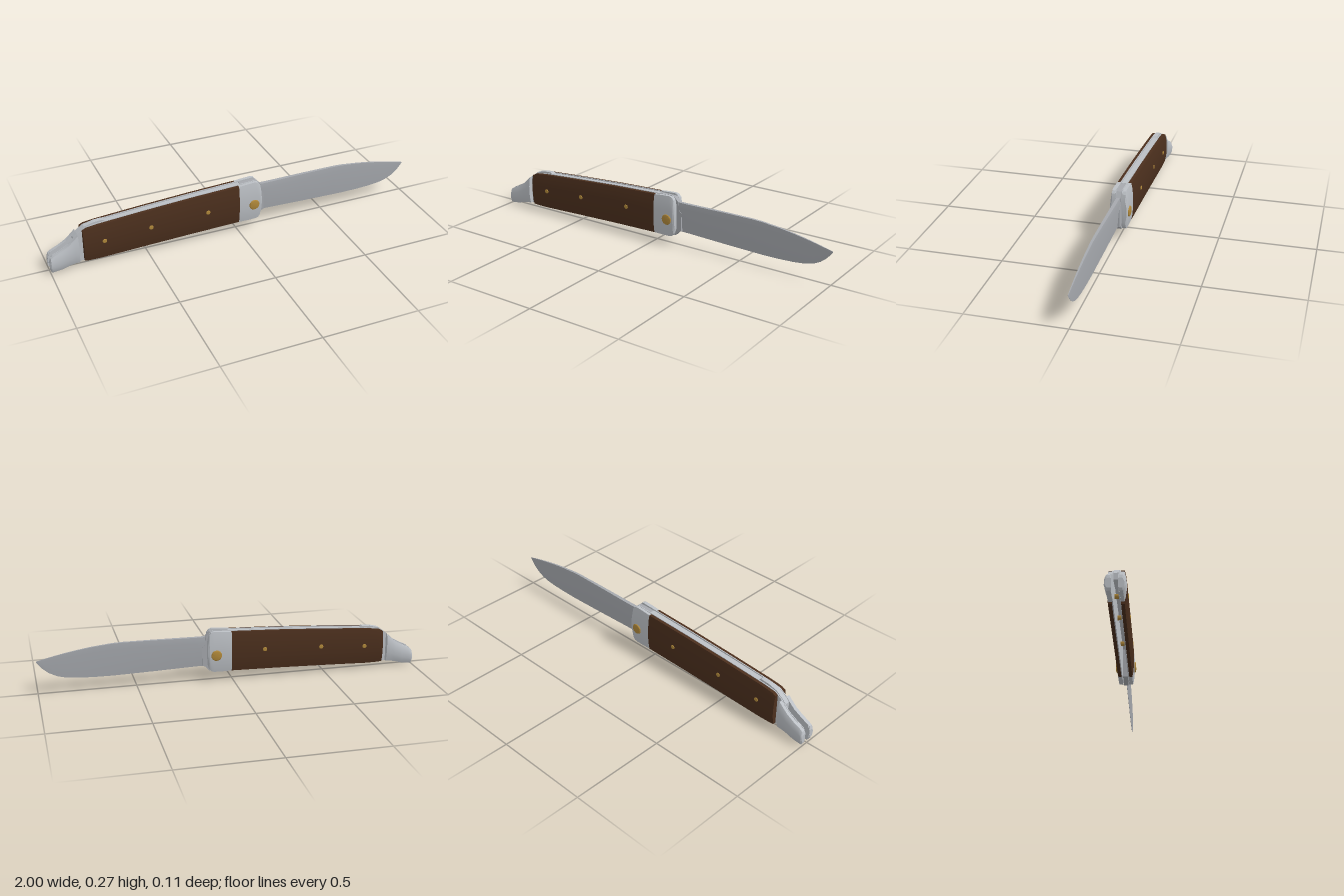
import * as THREE from 'three';
import { toCreasedNormals } from 'three/addons/utils/BufferGeometryUtils.js';

const material = (name, color) => {
  const m = new THREE.MeshStandardMaterial({ color });
  m.name = name;
  return m;
};

// Skin a row of cross-sections [x, [[y, z], ...]] and close both ends.
function loft(sections, side = 1) {
  const rings = sections.map(([x, pts]) => {
    const ring = pts.map(([y, z]) => [x, y, z * side]);
    return side < 0 ? ring.reverse() : ring;
  });
  const pos = [];
  const tri = (a, b, c) => pos.push(...a, ...b, ...c);
  const n = rings[0].length;
  for (let s = 0; s < rings.length - 1; s++) {
    const a = rings[s], b = rings[s + 1];
    for (let i = 0; i < n; i++) {
      const j = (i + 1) % n;
      tri(a[i], a[j], b[j]);
      tri(a[i], b[j], b[i]);
    }
  }
  const first = rings[0], last = rings[rings.length - 1];
  for (let i = 1; i < n - 1; i++) {
    tri(first[0], first[i + 1], first[i]);
    tri(last[0], last[i], last[i + 1]);
  }
  const g = new THREE.BufferGeometry();
  g.setAttribute('position', new THREE.Float32BufferAttribute(pos, 3));
  return toCreasedNormals(g, 0.3);
}

// Handle slab with a crowned outer face; rows are [x, bottom, top, optional depth].
const slab = (rows, side) => loft(rows.map(([x, b, t, z = 0.046]) => {
  const h = t - b, rim = z - 0.010;
  return [x, [[b, 0.019], [t, 0.019], [t, rim], [t - h * 0.12, z - 0.005],
    [t - h * 0.35, z], [b + h * 0.35, z], [b + h * 0.12, z - 0.005], [b, rim]]];
}), side);

// Flat plate cut from an outline in x and y.
function plate(points, z0, z1) {
  const shape = new THREE.Shape(points.map(([x, y]) => new THREE.Vector2(x, y)));
  const g = new THREE.ExtrudeGeometry(shape, { depth: z1 - z0, bevelEnabled: false });
  return g.translate(0, 0, z0);
}

// Domed pin through the whole handle.
function pin(radius, half) {
  const r = radius, h = half;
  const profile = [[0, -h], [r * 0.65, -h], [r * 0.92, -h + 0.002], [r, -h + 0.005],
    [r, h - 0.005], [r * 0.92, h - 0.002], [r * 0.65, h], [0, h]];
  const g = new THREE.LatheGeometry(profile.map(p => new THREE.Vector2(...p)), 20);
  return toCreasedNormals(g.rotateX(Math.PI / 2), 0.6);
}

export function createModel() {
  const steel = material('bolster steel', 0xbcc0c5);
  const bladeSteel = material('blade steel', 0xa6a9ae);
  const wood = material('dark wood', 0x4b2f1d);
  const brass = material('brass', 0xb0883a);

  const model = new THREE.Group();
  model.name = 'foldingKnife';
  const add = (name, geometry, mat, x = 0, y = 0) => {
    const mesh = new THREE.Mesh(geometry, mat);
    mesh.name = name;
    mesh.position.set(x, y, 0);
    model.add(mesh);
  };

  // Rows along x: bottom, top and depth of each handle part
  const woodRows = [[-0.825, 0.032, 0.201], [-0.805, 0.029, 0.211], [-0.74, 0.028, 0.219],
    [-0.5, 0.037, 0.236], [-0.25, 0.045, 0.251], [0.006, 0.051, 0.262]];
  const frontRows = [[0.006, 0.051, 0.262], [0.06, 0.050, 0.267], [0.10, 0.051, 0.269],
    [0.114, 0.055, 0.264], [0.124, 0.068, 0.25], [0.132, 0.095, 0.215, 0.043]];
  const rearRows = [[-1.0, 0.018, 0.066, 0.042], [-0.994, 0.006, 0.084, 0.046], [-0.975, 0.007, 0.097],
    [-0.94, 0.012, 0.112], [-0.9, 0.024, 0.136], [-0.87, 0.029, 0.163], [-0.85, 0.030, 0.183]];

  // Liner outline follows the whole handle
  const linerOutline = [
    [-0.998, 0.02], [-0.99, 0.001], [-0.95, 0.006], [-0.9, 0.02], [-0.85, 0.028], [-0.74, 0.025],
    [-0.5, 0.034], [-0.25, 0.042], [0, 0.048], [0.1, 0.048], [0.118, 0.056], [0.13, 0.09],
    [0.13, 0.215], [0.122, 0.255], [0.105, 0.271], [0, 0.265], [-0.25, 0.254], [-0.5, 0.239],
    [-0.74, 0.222], [-0.81, 0.212], [-0.85, 0.184], [-0.9, 0.138], [-0.95, 0.11], [-0.985, 0.094],
    [-0.998, 0.066]];

  for (const [label, side] of [['left', 1], ['right', -1]]) {
    const face = label === 'left' ? 'front' : 'back';
    add(face + 'WoodScale', slab(woodRows, side), wood);
    add(face + 'Bolster', slab(frontRows, side), steel);
    add(face + 'EndCap', slab(rearRows, side), steel);
    add(face + 'Liner', plate(linerOutline, side > 0 ? 0.015 : -0.02, side > 0 ? 0.02 : -0.015), steel);
  }

  // Back spring with a raised thumb rest at the rear
  add('backSpring', plate([
    [-0.87, 0.13], [-0.82, 0.14], [-0.72, 0.165], [-0.25, 0.2], [0.02, 0.215], [0.02, 0.263],
    [-0.25, 0.25], [-0.5, 0.235], [-0.705, 0.222], [-0.715, 0.231], [-0.76, 0.228],
    [-0.81, 0.215], [-0.85, 0.184], [-0.87, 0.165]], -0.0125, 0.0125), steel);

  // Tang around the pivot
  add('bladeTang', plate([
    [0.022, 0.06], [0.05, 0.052], [0.12, 0.052], [0.14, 0.075], [0.157, 0.082], [0.157, 0.178],
    [0.14, 0.2], [0.14, 0.236], [0.115, 0.262], [0.022, 0.262]], -0.0125, 0.0125), bladeSteel);

  // Blade rows: x, edge, spine, half thickness at the spine
  const bladeRows = [[0.1, 0.078, 0.236, 0.0125], [0.2, 0.076, 0.236, 0.0122], [0.4, 0.07, 0.239, 0.0105],
    [0.57, 0.066, 0.24, 0.009], [0.62, 0.065, 0.238, 0.0085], [0.72, 0.066, 0.228, 0.007],
    [0.8, 0.07, 0.216, 0.006], [0.86, 0.077, 0.205, 0.005], [0.9, 0.087, 0.197, 0.0042],
    [0.94, 0.107, 0.188, 0.0033], [0.97, 0.132, 0.181, 0.0025], [0.99, 0.156, 0.176, 0.0018],
    [1.0, 0.17, 0.173, 0.0008]];
  add('blade', loft(bladeRows.map(([x, e, s, z]) => {
    const bevel = s - (s - e) * 0.18;
    return [x, [[e, -0.0005], [bevel, -z], [s, -z * 0.75], [s, z * 0.75], [bevel, z], [e, 0.0005]]];
  })), bladeSteel);

  // Brass pivot and handle pins
  add('pivot', pin(0.028, 0.053), brass, 0.088, 0.143);
  for (const [x, y] of [[-0.72, 0.128], [-0.477, 0.145], [-0.17, 0.157]])
    add('handlePin', pin(0.012, 0.05), brass, x, y);

  return model;
}
